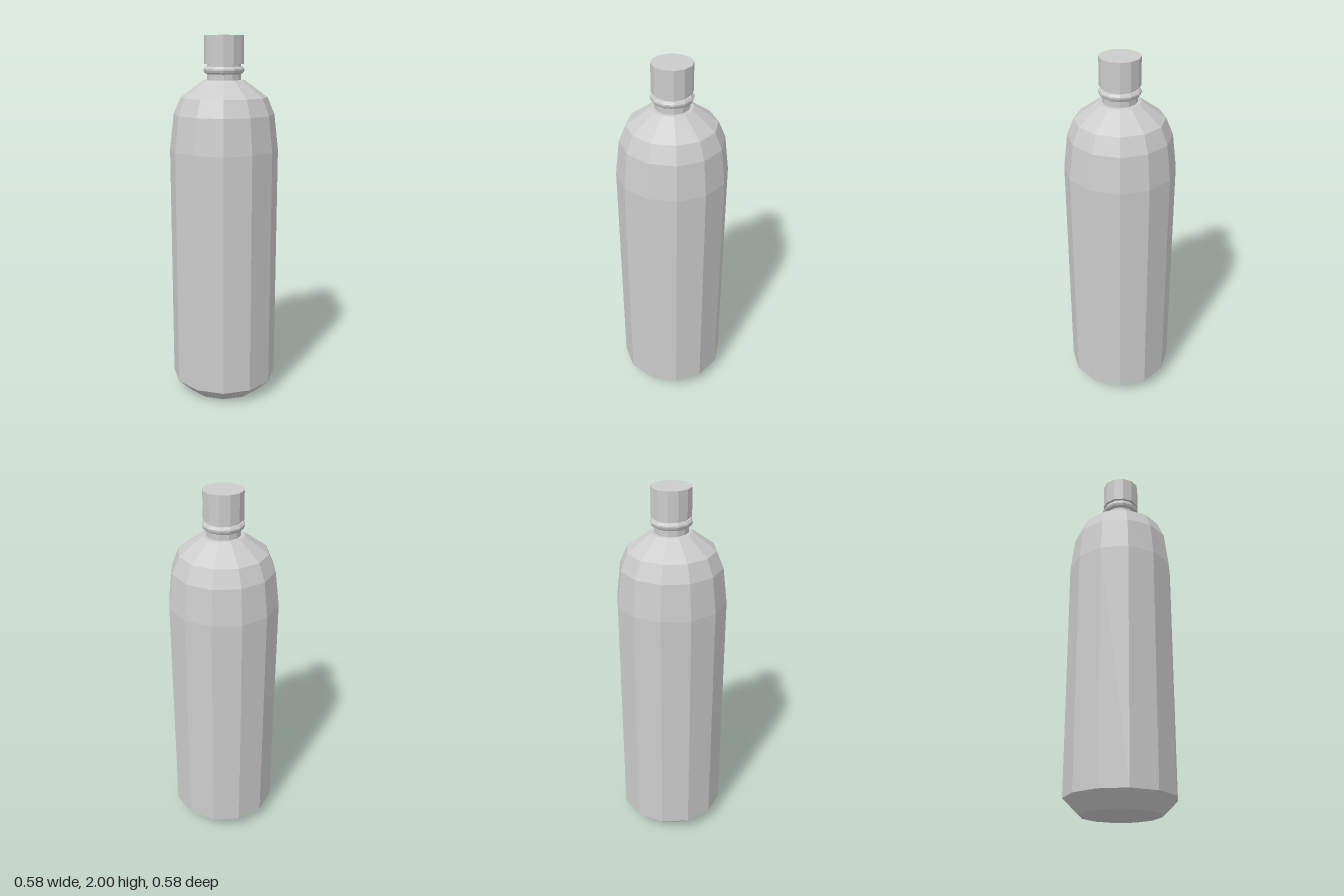
import * as THREE from 'three';

const SIDES = 12;
const TURN = THREE.MathUtils.degToRad(17.1); // slight twist of the facets about y

export function createModel() {
  const group = new THREE.Group();
  const material = new THREE.MeshStandardMaterial({ color: 0xcccccc, flatShading: true });

  // Faceted solid of revolution from [radius, height] pairs, bottom to top
  function addTurned(name, profile) {
    const points = profile.map(([r, y]) => new THREE.Vector2(r, y));
    const mesh = new THREE.Mesh(new THREE.LatheGeometry(points, SIDES, TURN), material);
    mesh.name = name;
    group.add(mesh);
  }

  // Chamfered base, straight wall and rounded shoulder
  addTurned('body', [
    [0, 0], [0.212, 0], [0.295, 0.08], [0.295, 1.4],
    [0.272, 1.59], [0.234, 1.68], [0.11, 1.77], [0, 1.77],
  ]);

  // Neck between shoulder and cap
  addTurned('neck', [[0.09, 1.765], [0.09, 1.87]]);

  // Bevelled collar around the neck
  addTurned('neckRing', [
    [0.09, 1.8], [0.104, 1.808], [0.109, 1.82], [0.109, 1.828], [0.1, 1.84], [0.09, 1.84],
  ]);

  // Screw cap
  addTurned('cap', [[0, 1.853], [0.105, 1.853], [0.105, 2], [0, 2]]);

  return group;
}
